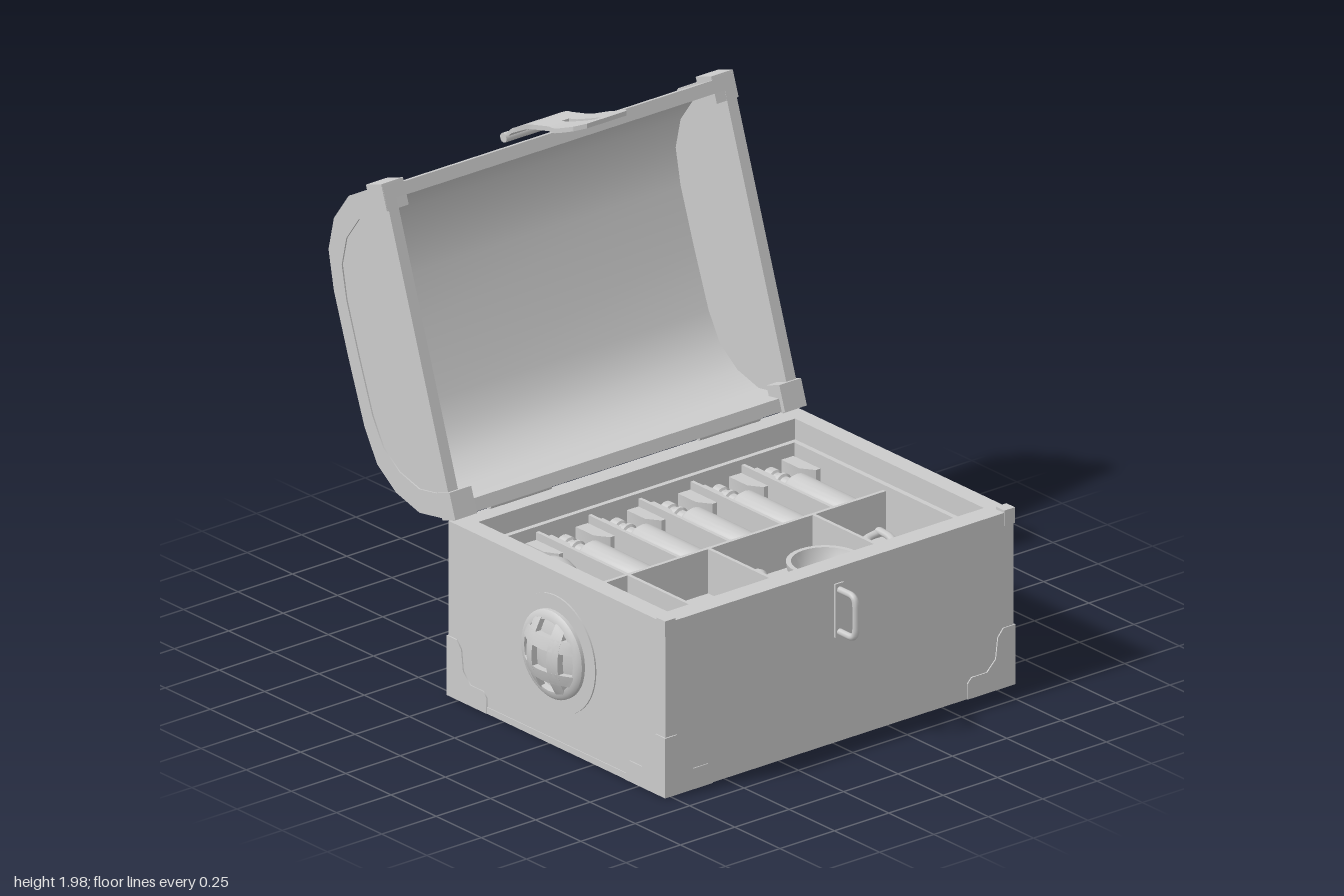
import * as THREE from 'three';
import { toCreasedNormals } from 'three/addons/utils/BufferGeometryUtils.js';

const mat = new THREE.MeshStandardMaterial({ color: 0xcccccc, side: THREE.DoubleSide });
const V = (x, y, z) => new THREE.Vector3(x, y, z);
const ZC = -0.03; // middle of the chest along z

export function createModel() {
  const root = new THREE.Group();
  root.name = 'openChest';
  let parent = root;
  const group = (name) => {
    parent = new THREE.Group();
    parent.name = name;
    root.add(parent);
  };
  const add = (name, geo, x = 0, y = 0, z = 0) => {
    const m = new THREE.Mesh(geo, mat);
    m.name = name;
    m.position.set(x, y, z);
    parent.add(m);
    return m;
  };
  const box = (name, x0, x1, y0, y1, z0, z1) =>
    add(name, new THREE.BoxGeometry(x1 - x0, y1 - y0, z1 - z0), (x0 + x1) / 2, (y0 + y1) / 2, (z0 + z1) / 2);
  const shapeOf = (pts) => new THREE.Shape(pts.map(([x, y]) => new THREE.Vector2(x, y)));
  const extrude = (shape, depth) =>
    toCreasedNormals(new THREE.ExtrudeGeometry(shape, { depth, bevelEnabled: false }), 0.8);
  const lathe = (pts, n = 24) =>
    toCreasedNormals(new THREE.LatheGeometry(pts.map(([r, y]) => new THREE.Vector2(r, y)), n), 0.7);
  const tube = (name, pts, r, n = 40, sides = 10, tension = 0.5) =>
    add(name, new THREE.TubeGeometry(new THREE.CatmullRomCurve3(pts, false, 'catmullrom', tension), n, r, sides));

  // Chest body: walls, floor, rim corners
  group('body');
  const wall = shapeOf([[-0.31, -0.77], [0.89, -0.77], [0.89, 0.83], [-0.31, 0.83]]);
  wall.holes.push(shapeOf([[-0.235, -0.695], [0.81, -0.695], [0.81, 0.76], [-0.235, 0.76]]));
  add('walls', extrude(wall, 0.67).rotateX(-Math.PI / 2));
  box('trayFloor', -0.24, 0.82, 0.003, 0.4, -0.77, 0.7);
  for (const z of [-0.81, 0.75]) box('rimCorner', 0.845, 0.893, 0.62, 0.68, z - 0.024, z + 0.024);

  // Stepped corner plates, two at every bottom corner
  const plate = (s) => extrude(shapeOf([[0, 0], [0.22, 0], [0.22, 0.06], [0.2, 0.08], [0.13, 0.08],
    [0.09, 0.12], [0.08, 0.2], [0.055, 0.23], [0, 0.23]].map(([x, y]) => [x * s, y])), 0.01).translate(0, 0, -0.005);
  for (const [x, sx] of [[-0.315, 1], [0.895, -1]])
    for (const [z, sz] of [[-0.835, 1], [0.775, -1]]) {
      add('cornerPlate', plate(sx), x, 0, z + sz * 0.005);
      add('cornerPlate', plate(-sz).rotateY(Math.PI / 2), x + sx * 0.005, 0, z);
    }
  for (const z of [-0.83, 0.77]) box('baseStrip', -0.1, 0.68, 0, 0.025, z - 0.003, z + 0.003);

  // Tray liner and compartment dividers
  group('tray');
  box('liner', -0.235, -0.215, 0.4, 0.59, -0.76, 0.695);
  box('liner', 0.79, 0.81, 0.4, 0.59, -0.76, 0.695);
  box('liner', -0.215, 0.79, 0.4, 0.59, -0.76, -0.74);
  box('liner', -0.215, 0.79, 0.4, 0.59, 0.67, 0.695);
  box('longDivider', 0.278, 0.292, 0.4, 0.57, -0.74, 0.67);
  for (const z of [-0.505, -0.27, -0.03, 0.2, 0.44]) box('divider', -0.215, 0.28, 0.4, 0.57, z - 0.007, z + 0.007);
  for (const z of [-0.41, 0.07, 0.44]) box('divider', 0.29, 0.79, 0.4, 0.57, z - 0.007, z + 0.007);

  // Neck rests: a chamfered block on each side of a bottle neck
  const neckRest = (x, dir, z, half) => {
    for (const s of [-1, 1]) {
      const pts = [[0, half], [0.15, half], [0.15, half - 0.02], [0.1, 0.055], [0, 0.055]];
      add('neckRest', extrude(shapeOf(pts.map(([u, v]) => [x + dir * u, -(z + s * v)])), 0.14).rotateX(-Math.PI / 2), 0, 0.4, 0);
    }
    box('neckCradle', Math.min(x, x + dir * 0.1), Math.max(x, x + dir * 0.1), 0.4, 0.46, z - 0.055, z + 0.055);
  };

  // Bottles lying on their side, corks towards the rest
  group('bottles');
  const bottle = [[0, 0], [0.036, 0], [0.036, 0.035], [0.028, 0.04], [0.028, 0.065], [0.037, 0.067], [0.037, 0.08],
    [0.028, 0.085], [0.028, 0.115], [0.045, 0.13], [0.0625, 0.155], [0.0625, 0.455], [0.055, 0.465], [0, 0.465]];
  for (const z of [-0.625, -0.385, -0.15, 0.085, 0.32]) {
    neckRest(-0.215, 1, z, 0.11);
    add('bottle', lathe(bottle).rotateZ(-Math.PI / 2), -0.215, 0.49, z);
  }
  const flask = [[0, 0], [0.036, 0], [0.036, 0.035], [0.027, 0.04], [0.027, 0.06], [0.04, 0.065], [0.04, 0.078], [0.03, 0.085],
    [0.03, 0.11], [0.055, 0.15], [0.08, 0.195], [0.085, 0.235], [0.075, 0.275], [0.05, 0.315], [0.042, 0.34], [0.058, 0.385], [0, 0.385]];
  neckRest(-0.215, 1, 0.55, 0.105);
  add('flask', lathe(flask).rotateZ(-Math.PI / 2), -0.215, 0.49, 0.55);
  neckRest(0.79, -1, 0.55, 0.105);
  add('smallFlask', lathe(flask.map(([r, y]) => [r * 0.88, y * 0.78])).rotateZ(Math.PI / 2), 0.795, 0.48, 0.55);
  for (const [x, z, a] of [[0.41, 0.52, 0.3], [0.36, 0.57, 2.2], [0.37, 0.62, -0.5]])
    add('looseCork', lathe([[0, -0.05], [0.022, -0.05], [0.026, 0], [0.036, 0.005], [0.036, 0.035], [0, 0.035]], 12)
      .rotateZ(-Math.PI / 2).rotateY(a), x, 0.436, z);

  // Tools: pliers, mortar, pestle, sheets
  group('tools');
  const flat = (pts) => tube('pliersArm', pts.map(([x, z]) => V(x, 0, z)), 0.017, 32, 8);
  for (const [y, pts] of [[0.43, [[0.31, -0.69], [0.33, -0.62], [0.4, -0.585], [0.48, -0.6], [0.56, -0.6], [0.68, -0.55], [0.77, -0.51]]],
    [0.44, [[0.31, -0.69], [0.39, -0.68], [0.47, -0.63], [0.53, -0.555], [0.63, -0.49], [0.77, -0.455]]]]) {
    const arm = flat(pts);
    arm.position.y = y;
    arm.scale.y = 0.7;
  }
  add('pliersPivot', new THREE.CylinderGeometry(0.02, 0.02, 0.05, 12), 0.49, 0.437, -0.6);
  add('mortar', lathe([[0, 0], [0.07, 0], [0.075, 0.015], [0.11, 0.05], [0.135, 0.1], [0.14, 0.13], [0.122, 0.13],
    [0.11, 0.09], [0.085, 0.055], [0.055, 0.03], [0, 0.03]], 32), 0.565, 0.4, -0.235);
  add('pestle', lathe([[0, 0], [0.025, 0.005], [0.032, 0.03], [0.022, 0.08], [0.026, 0.16], [0.038, 0.24], [0.032, 0.262], [0, 0.268]], 16)
    .rotateZ(-Math.PI / 2).rotateY(-0.34), 0.34, 0.438, -0.105);
  [0.08, -0.14, 0.02].forEach((a, i) =>
    add('paperSheet', new THREE.BoxGeometry(0.32, 0.008, 0.27).rotateY(a), 0.54, 0.406 + i * 0.01, 0.25));

  // Round grille on the side: disc, ring, domed crossbars
  group('grille');
  const gx = 0.285, gy = 0.357;
  add('disc', new THREE.CylinderGeometry(0.223, 0.223, 0.012, 48).rotateX(Math.PI / 2), gx, gy, 0.77);
  add('ring', lathe([[0.13, 0], [0.167, 0], [0.167, 0.02], [0.155, 0.032], [0.135, 0.035], [0.13, 0.01]], 40).rotateX(Math.PI / 2), gx, gy, 0.77);
  add('innerDome', lathe([[0.135, 0], [0.11, 0.012], [0.06, 0.022], [0, 0.025]], 32).rotateX(Math.PI / 2), gx, gy, 0.772);
  for (const turn of [0, Math.PI / 2])
    for (const off of [-0.063, 0.063]) {
      const g = new THREE.BoxGeometry(0.27, 0.045, 0.025, 14, 2, 1).translate(0, off, 0);
      const p = g.attributes.position;
      for (let i = 0; i < p.count; i++) {
        const r2 = p.getX(i) ** 2 + p.getY(i) ** 2;
        p.setZ(i, p.getZ(i) + 0.057 * Math.max(0, 1 - r2 / 0.0235));
      }
      g.computeVertexNormals();
      add('crossbar', g.rotateZ(turn), gx, gy, 0.784);
    }

  // Staple on the +x wall
  group('staple');
  box('staplePlate', 0.885, 0.897, 0.405, 0.61, -0.045, -0.005);
  tube('stapleLoop', [[0.885, 0.585], [0.96, 0.585], [0.98, 0.575], [0.987, 0.55], [0.987, 0.46], [0.98, 0.435], [0.96, 0.424], [0.885, 0.424]]
    .map(([x, y]) => V(x, y, -0.025)), 0.013, 48, 8, 0.3);

  // Lid: curved shell, end walls, end bands; profile runs from rim to rim
  group('lid');
  const profile = [[-0.67, 1.84], [-0.75, 1.8], [-0.86, 1.74], [-0.94, 1.63], [-0.97, 1.5], [-0.94, 1.35], [-0.86, 1.12],
    [-0.77, 0.88], [-0.7, 0.76], [-0.595, 0.685], [-0.465, 0.65], [-0.28, 0.68]];
  const scaled = (k) => profile.map(([x, y]) => [-0.475 + (x + 0.475) * k, 1.26 + (y - 1.26) * k]);
  const rib = (a, b) => shapeOf([...scaled(a), ...scaled(b).reverse()]);
  add('shell', extrude(rib(0.988, 0.91), 1.59), 0, 0, ZC - 0.795);
  for (const s of [-1, 1]) {
    add('endWall', extrude(shapeOf(scaled(0.985)), 0.045), 0, 0, ZC + s * 0.777 - 0.0225);
    add('endBand', extrude(rib(1, 0.975), 0.09), 0, 0, ZC + s * 0.757 - 0.045);
    add('endTrim', extrude(rib(0.998, 0.85), 0.01), 0, 0, ZC + s * 0.8 - 0.005);
    // Corner caps, tilted with the open rim
    for (const [x, y, h, d] of [[-0.7, 1.785, 0.1, 0.09], [-0.315, 0.725, 0.1, 0.075]]) {
      const cap = add('cornerCap', new THREE.BoxGeometry(d, h, 0.1), x, y, ZC + s * 0.758);
      cap.rotation.z = 0.33;
    }
    add('hinge', new THREE.CylinderGeometry(0.014, 0.014, 0.28, 12).rotateX(Math.PI / 2), -0.305, 0.682, ZC + s * 0.48);
  }

  // Carrying handle on the lid: flared mounts and a turned bar
  group('lidHandle');
  const zh = -0.02;
  tube('handleBow', [[-0.86, 1.165, -0.15], [-0.92, 1.145, -0.15], [-0.955, 1.12, -0.125], [-0.968, 1.11, -0.07], [-0.968, 1.11, 0.07],
    [-0.955, 1.12, 0.125], [-0.92, 1.145, 0.15], [-0.86, 1.165, 0.15]].map(([x, y, z]) => V(x, y, zh + z)), 0.023, 60, 12);
  for (const s of [-1, 1]) {
    add('handleMount', lathe([[0.065, 0], [0.06, 0.012], [0.035, 0.02], [0.026, 0.045], [0, 0.045]]).rotateZ(1.92), -0.868, 1.165, zh + s * 0.15);
    add('handleCollar', new THREE.TorusGeometry(0.023, 0.009, 8, 20), -0.968, 1.11, zh + s * 0.075);
  }

  // Hasp: bent strap with a slot, mapped from thin boxes
  group('hasp');
  const interp = (pts, u) => {
    let i = 0;
    while (i < pts.length - 2 && u > pts[i + 1][0]) i++;
    const [a, b] = [pts[i], pts[i + 1]];
    return a[1] + (b[1] - a[1]) * (u - a[0]) / (b[0] - a[0]);
  };
  const bend = [[-0.81, 1.8], [-0.78, 1.83], [-0.72, 1.86], [-0.58, 1.895], [-0.5, 1.925], [-0.39, 1.97]];
  const width = [[-0.81, 0.115], [-0.76, 0.115], [-0.7, 0.09], [-0.6, 0.09], [-0.53, 0.122], [-0.43, 0.122], [-0.39, 0.09]];
  const strap = (x0, x1, inner, outer) => {
    const g = new THREE.BoxGeometry(1, 0.018, 1, 16, 1, 1);
    const p = g.attributes.position;
    for (let i = 0; i < p.count; i++) {
      const x = x0 + (x1 - x0) * (p.getX(i) + 0.5), t = p.getZ(i) + 0.5, w = interp(width, x);
      p.setXYZ(i, x, p.getY(i) + interp(bend, x), inner(w) * (1 - t) + outer(w) * t);
    }
    g.computeVertexNormals();
    add('strap', g, 0, 0, -0.023);
  };
  strap(-0.81, -0.62, (w) => -w, (w) => w);
  strap(-0.62, -0.44, (w) => -w, () => -0.017);
  strap(-0.62, -0.44, () => 0.017, (w) => w);
  strap(-0.44, -0.39, (w) => -w, (w) => w);
  add('haspPin', new THREE.CylinderGeometry(0.018, 0.018, 0.25, 12).rotateX(Math.PI / 2), -0.812, 1.795, -0.023);

  return root;
}
